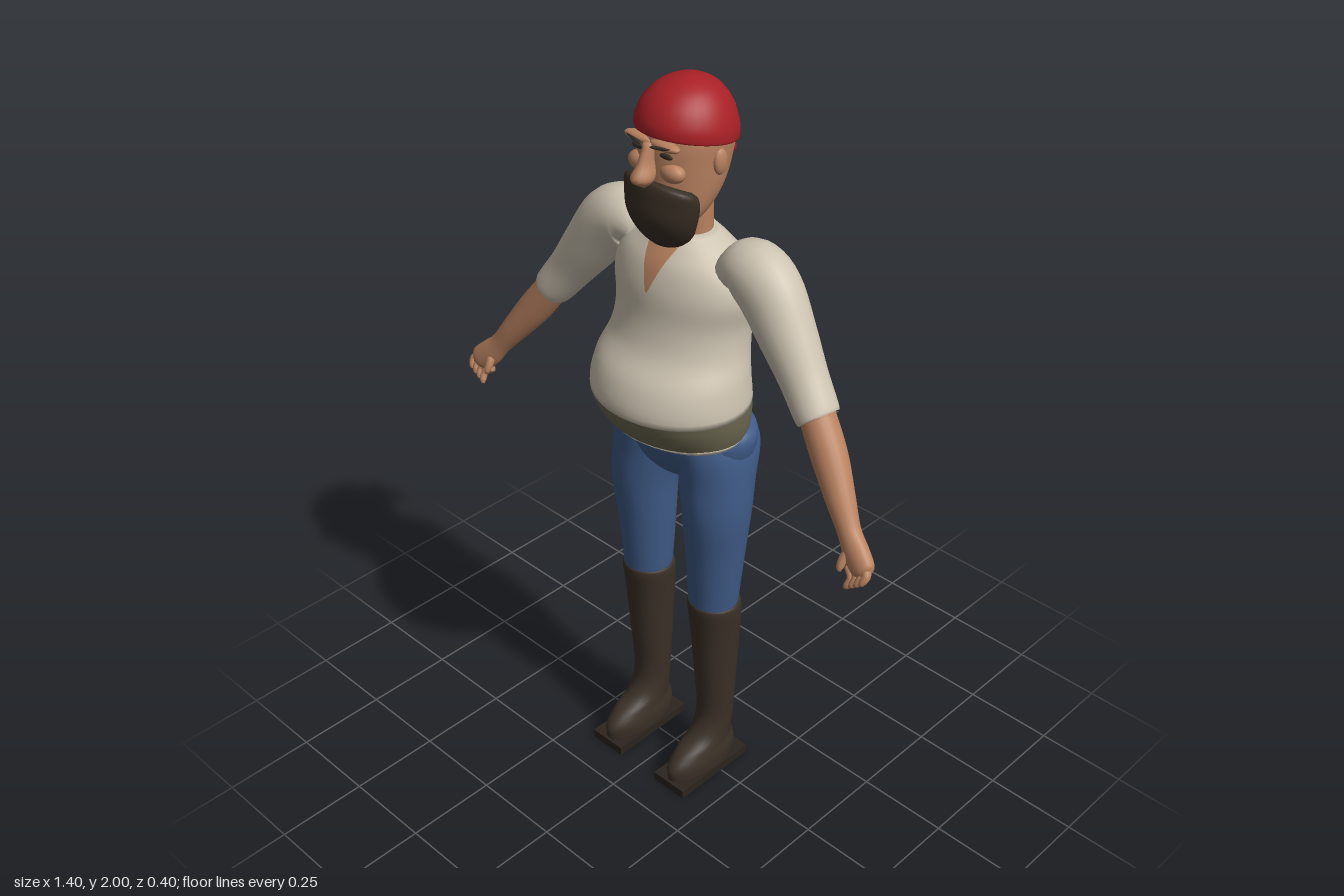
import * as THREE from 'three';

const mat = (name, color) => Object.assign(new THREE.MeshStandardMaterial({ color }), { name });
const M = {
  shirt: mat('cream shirt', 0xcdc3b1),
  skin: mat('tan skin', 0xb98260),
  red: mat('red cloth', 0xa82026),
  pants: mat('blue trousers', 0x3f5b87),
  boot: mat('dark brown leather', 0x3b3127),
  sole: mat('sole', 0x2b241e),
  belt: mat('olive sash', 0x6c6750),
  hair: mat('dark beard', 0x382e24),
};
const STEPS = 5;

// Smoothly resample sections [x, y, z, radius across, radius in depth]
function rings(sections) {
  const curve = (f) => new THREE.CatmullRomCurve3(sections.map(f), false, 'catmullrom', 0.5);
  const path = curve((s) => new THREE.Vector3(s[0], s[1], s[2]));
  const size = curve((s) => new THREE.Vector3(s[3], s[4], 0));
  const n = (sections.length - 1) * STEPS;
  return Array.from({ length: n + 1 }, (_, i) => ({
    c: path.getPoint(i / n), t: path.getTangent(i / n), r: size.getPoint(i / n),
  }));
}

// Skin over elliptical rings; level keeps the rings horizontal
function loft(list, { level = true, caps = true, sides = 28 } = {}) {
  const pos = [], idx = [];
  const up = new THREE.Vector3(0, 1, 0), front = new THREE.Vector3(0, 0, 1);
  for (const { c, t, r } of list) {
    const dir = level ? up : t;
    const u = new THREE.Vector3().crossVectors(dir, front).normalize();
    const v = new THREE.Vector3().crossVectors(u, dir);
    for (let j = 0; j < sides; j++) {
      const a = (j / sides) * Math.PI * 2;
      const p = c.clone().addScaledVector(u, Math.cos(a) * r.x).addScaledVector(v, Math.sin(a) * r.y);
      pos.push(p.x, p.y, p.z);
    }
  }
  for (let i = 0; i < list.length - 1; i++) {
    for (let j = 0; j < sides; j++) {
      const k = (j + 1) % sides, a = i * sides, b = a + sides;
      idx.push(a + j, b + j, a + k, a + k, b + j, b + k);
    }
  }
  if (caps) {
    const s = list.length * sides, last = s - sides;
    for (const e of [list[0], list[list.length - 1]]) pos.push(e.c.x, e.c.y, e.c.z);
    for (let j = 0; j < sides; j++) {
      const k = (j + 1) % sides;
      idx.push(s, j, k, s + 1, last + k, last + j);
    }
  }
  const g = new THREE.BufferGeometry();
  g.setAttribute('position', new THREE.Float32BufferAttribute(pos, 3));
  g.setIndex(idx);
  g.computeVertexNormals();
  return g;
}

// Move vertices by a rule, then refresh the normals
function warp(g, rule) {
  const p = g.attributes.position, v = new THREE.Vector3();
  for (let i = 0; i < p.count; i++) {
    rule(v.fromBufferAttribute(p, i));
    p.setXYZ(i, v.x, v.y, v.z);
  }
  g.computeVertexNormals();
  return g;
}

export function createModel() {
  const root = new THREE.Group();
  root.name = 'beardedMan';
  const add = (name, geo, material) => {
    const m = new THREE.Mesh(geo, material);
    m.name = name;
    root.add(m);
    return m;
  };
  const blob = (name, material, p, s) => {
    const m = add(name, new THREE.SphereGeometry(1, 18, 12), material);
    m.position.set(...p);
    m.scale.set(...s);
    return m;
  };
  const limb = (name, material, sections, sides = 22) =>
    add(name, loft(rings(sections), { level: false, sides }), material);

  // Torso: one profile split into hem, sash and shirt
  const torso = rings([
    [0, 1.075, 0.01, 0.12, 0.07], [0, 1.092, 0.01, 0.175, 0.11], [0, 1.12, 0.003, 0.206, 0.155],
    [0, 1.2, 0.018, 0.218, 0.182], [0, 1.28, 0.012, 0.21, 0.17], [0, 1.35, -0.015, 0.192, 0.147],
    [0, 1.42, -0.03, 0.19, 0.138], [0, 1.5, -0.037, 0.204, 0.134], [0, 1.56, -0.038, 0.18, 0.115],
    [0, 1.6, -0.04, 0.125, 0.09], [0, 1.63, -0.04, 0.075, 0.065],
  ]);
  add('shirtHem', loft(torso.slice(0, 2 * STEPS + 1), { sides: 40 }), M.shirt);
  add('sash', loft(torso.slice(2 * STEPS, 3 * STEPS + 1), { sides: 40, caps: false }), M.belt);
  add('shirt', loft(torso.slice(3 * STEPS), { sides: 40 }), M.shirt);

  // Open collar: a triangle laid on the chest
  const collar = new THREE.PlaneGeometry(1, 1, 6, 16);
  add('openCollar', warp(collar, (v) => {
    const f = v.y + 0.5;
    const y = 1.5 + f * 0.118;
    const i = Math.max(1, torso.findIndex((q) => q.c.y >= y));
    const a = torso[i - 1], b = torso[i], k = (y - a.c.y) / (b.c.y - a.c.y);
    const mix = (m, n) => m + (n - m) * k;
    const x = v.x * (0.006 + 0.09 * f);
    const depth = mix(a.r.y, b.r.y) * Math.sqrt(1 - (x / mix(a.r.x, b.r.x)) ** 2);
    v.set(x, y, mix(a.c.z, b.c.z) + depth + 0.004);
  }), M.skin);

  // Hips
  add('hips', loft(rings([
    [0, 0.955, -0.025, 0.05, 0.05], [0, 0.98, -0.03, 0.13, 0.085], [0, 1.03, -0.037, 0.195, 0.112],
    [0, 1.09, -0.04, 0.215, 0.122], [0, 1.125, -0.045, 0.206, 0.115], [0, 1.14, -0.045, 0.17, 0.09],
  ]), { sides: 36 }), M.pants);

  for (const s of [1, -1]) {
    const side = s > 0 ? 'left' : 'right';
    const flip = (list) => list.map(([x, ...rest]) => [s * x, ...rest]);

    // Legs and boots
    add(side + 'TrouserLeg', loft(rings(flip([
      [0.122, 0.56, -0.018, 0.064, 0.064], [0.122, 0.62, -0.018, 0.07, 0.068],
      [0.125, 0.75, -0.018, 0.08, 0.078], [0.128, 0.88, -0.018, 0.09, 0.09],
      [0.118, 0.98, -0.028, 0.099, 0.098], [0.11, 1.06, -0.04, 0.1, 0.112],
      [0.1, 1.11, -0.04, 0.095, 0.105],
    ]))), M.pants);
    add(side + 'Boot', loft(rings(flip([
      [0.122, 0.02, 0.025, 0.05, 0.122], [0.122, 0.06, 0.025, 0.053, 0.123],
      [0.122, 0.095, 0.012, 0.049, 0.1], [0.122, 0.13, -0.015, 0.048, 0.066],
      [0.122, 0.2, -0.03, 0.051, 0.052], [0.122, 0.36, -0.028, 0.06, 0.06],
      [0.122, 0.5, -0.025, 0.069, 0.068], [0.122, 0.575, -0.02, 0.073, 0.071],
      [0.122, 0.585, -0.02, 0.062, 0.06],
    ]))), M.boot);
    const sole = add(side + 'Sole', new THREE.BoxGeometry(0.11, 0.025, 0.26), M.sole);
    sole.position.set(s * 0.122, 0.0125, 0.025);

    // Sleeve, forearm and hand
    limb(side + 'Sleeve', M.shirt, flip([
      [0.14, 1.565, -0.045, 0.045, 0.06], [0.2, 1.58, -0.045, 0.076, 0.075],
      [0.26, 1.55, -0.04, 0.083, 0.075], [0.33, 1.46, -0.03, 0.072, 0.067],
      [0.39, 1.38, -0.02, 0.06, 0.058], [0.445, 1.31, -0.008, 0.053, 0.055],
      [0.45, 1.304, -0.007, 0.044, 0.046],
    ]));
    limb(side + 'Forearm', M.skin, flip([
      [0.43, 1.33, -0.012, 0.042, 0.044], [0.5, 1.235, 0.01, 0.045, 0.043],
      [0.56, 1.155, 0.035, 0.037, 0.035], [0.605, 1.095, 0.053, 0.03, 0.027],
      [0.64, 1.055, 0.065, 0.036, 0.027], [0.67, 1.028, 0.075, 0.034, 0.024],
      [0.682, 1.018, 0.08, 0.018, 0.014],
    ]));
    for (let i = 0; i < 4; i++) {
      const x = 0.688 - 0.014 * i, y = 1.034 - 0.01 * i;
      limb(side + 'Finger', M.skin, flip([
        [x - 0.02, y + 0.01, 0.072, 0.01, 0.012], [x, y - 0.006, 0.085, 0.011, 0.011],
        [x - 0.003, y - 0.024, 0.096, 0.009, 0.009], [x - 0.008, y - 0.032, 0.1, 0.004, 0.004],
      ]), 10);
    }
    limb(side + 'Thumb', M.skin, flip([
      [0.63, 1.07, 0.062, 0.014, 0.014], [0.621, 1.045, 0.083, 0.012, 0.012],
      [0.62, 1.022, 0.097, 0.009, 0.009], [0.622, 1.012, 0.101, 0.004, 0.004],
    ]), 10);

    // Side features of the face
    blob(side + 'Ear', M.skin, [s * 0.11, 1.825, -0.03], [0.012, 0.032, 0.02]);
    blob(side + 'BrowRidge', M.skin, [s * 0.04, 1.874, 0.076], [0.045, 0.012, 0.018]);
    blob(side + 'Cheek', M.skin, [s * 0.05, 1.808, 0.062], [0.035, 0.024, 0.024]);
    blob(side + 'Eye', M.hair, [s * 0.043, 1.85, 0.076], [0.021, 0.007, 0.006]);
    const brow = blob(side + 'Eyebrow', M.hair, [s * 0.045, 1.874, 0.09], [0.032, 0.0045, 0.007]);
    brow.rotation.set(0, s * 0.25, s * 0.1);
  }

  // Neck, head and nose
  add('neck', loft(rings([
    [0, 1.56, -0.04, 0.075, 0.06], [0, 1.63, -0.04, 0.066, 0.056], [0, 1.74, -0.035, 0.068, 0.06],
  ])), M.skin);
  add('head', loft(rings([
    [0, 1.645, 0.03, 0.04, 0.04], [0, 1.69, 0.01, 0.08, 0.08], [0, 1.75, -0.018, 0.1, 0.1],
    [0, 1.82, -0.03, 0.109, 0.114], [0, 1.88, -0.036, 0.113, 0.118], [0, 1.93, -0.04, 0.1, 0.108],
    [0, 1.97, -0.04, 0.06, 0.07], [0, 1.985, -0.04, 0.01, 0.01],
  ])), M.skin);
  add('nose', loft(rings([
    [0, 1.772, 0.098, 0.01, 0.012], [0, 1.795, 0.106, 0.025, 0.033],
    [0, 1.83, 0.092, 0.016, 0.028], [0, 1.875, 0.082, 0.013, 0.017],
  ]), { sides: 14 }), M.skin);

  // Beard with the upper edge rising towards the front
  add('beard', warp(loft(rings([
    [0, 1.603, 0.028, 0.022, 0.02], [0, 1.615, 0.03, 0.048, 0.036], [0, 1.645, 0.037, 0.076, 0.055],
    [0, 1.69, 0.046, 0.094, 0.068], [0, 1.74, 0.046, 0.104, 0.066], [0, 1.772, 0.048, 0.104, 0.058],
    [0, 1.785, 0.048, 0.088, 0.046],
  ])), (v) => { v.y += 0.42 * (v.z - 0.09) * (v.y - 1.6) / 0.18; }), M.hair);

  // Headscarf sloping down to a knot with two tails
  add('headscarf', warp(loft(rings([
    [0, 1.862, -0.036, 0.112, 0.118], [0, 1.868, -0.036, 0.119, 0.124], [0, 1.9, -0.037, 0.117, 0.122],
    [0, 1.94, -0.039, 0.101, 0.107], [0, 1.972, -0.04, 0.075, 0.08], [0, 1.991, -0.04, 0.043, 0.046],
    [0, 1.999, -0.04, 0.012, 0.012],
  ]), { sides: 32 }), (v) => { v.y += 0.2 * (v.z + 0.04) * (2 - v.y) / 0.14; }), M.red);
  blob('scarfKnot', M.red, [-0.035, 1.85, -0.158], [0.024, 0.022, 0.02]);
  for (const [x, y, z] of [[-0.062, 1.738, -0.194], [0, 1.765, -0.188]]) {
    const mid = (x - 0.035) / 2;
    limb('scarfTail', M.red, [
      [-0.035, 1.855, -0.158, 0.012, 0.012], [mid, (y + 1.85) / 2 + 0.015, -0.178, 0.016, 0.011],
      [x, y + 0.015, z, 0.014, 0.009], [x, y, z - 0.002, 0.004, 0.004],
    ], 12);
    const loop = blob('scarfLoop', M.red, [x < -0.03 ? -0.058 : -0.012, 1.865, -0.172], [0.022, 0.012, 0.013]);
    loop.rotation.z = x < -0.03 ? -0.4 : 0.4;
  }
  return root;
}
